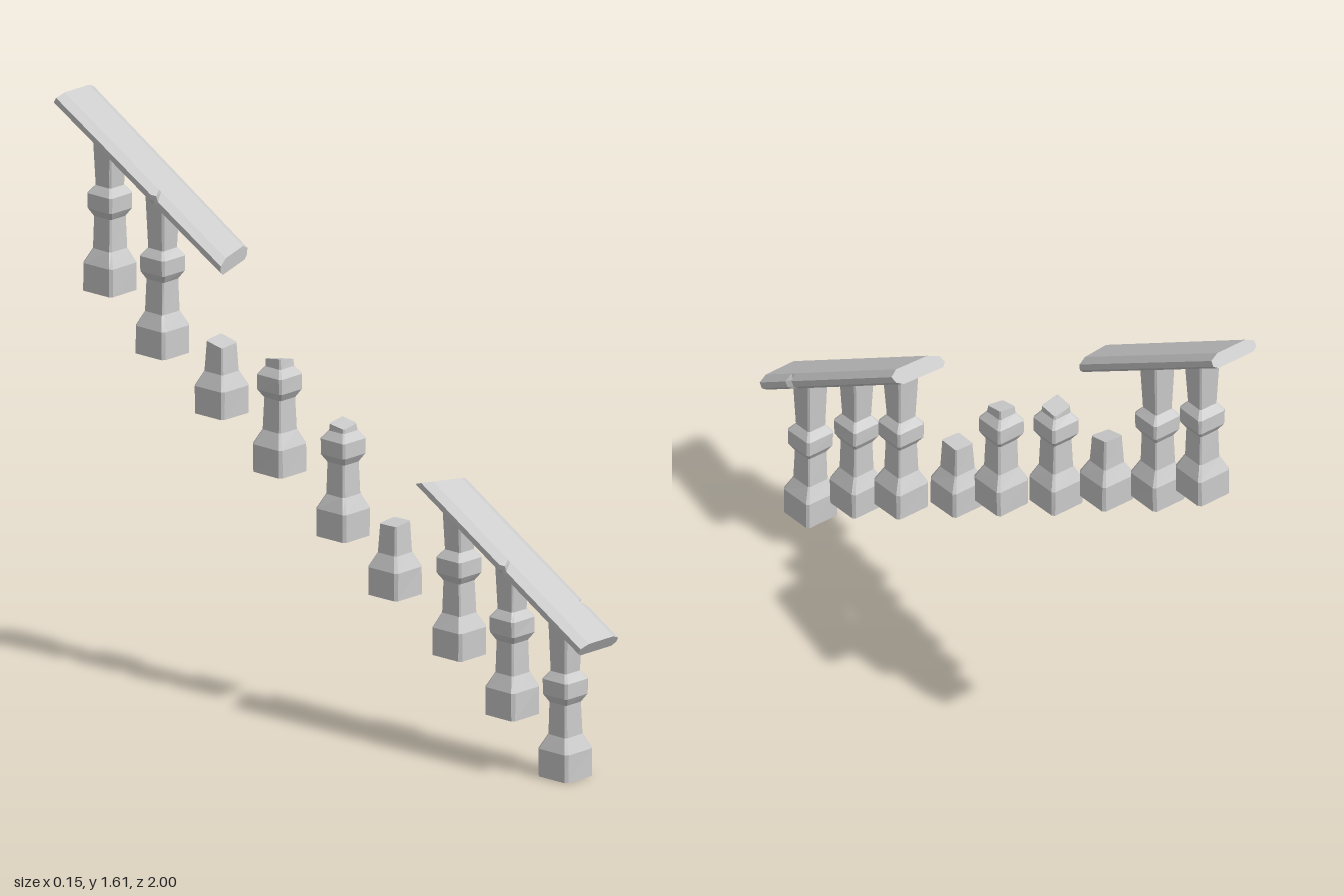
import * as THREE from 'three';

const material = new THREE.MeshStandardMaterial({ color: 0xcccccc, flatShading: true });

// small seeded random for hand-cut unevenness
let seed = 7;
const wobble = (amount) => {
  seed = (seed * 16807) % 2147483647;
  return (seed / 2147483647 - 0.5) * 2 * amount;
};

// skin a list of closed rings and cap both ends
function loft(rings) {
  const out = [];
  const tri = (...points) => points.forEach((p) => out.push(p.x, p.y, p.z));
  const n = rings[0].length;
  for (let i = 0; i < rings.length - 1; i++) {
    for (let j = 0; j < n; j++) {
      const k = (j + 1) % n;
      const [a, b, c, d] = [rings[i][j], rings[i][k], rings[i + 1][k], rings[i + 1][j]];
      tri(a, b, c);
      tri(a, c, d);
    }
  }
  const cap = (ring, flip) => {
    const mid = ring.reduce((s, p) => s.add(p), new THREE.Vector3()).divideScalar(n);
    ring.forEach((p, j) => {
      const q = ring[(j + 1) % n];
      flip ? tri(mid, q, p) : tri(mid, p, q);
    });
  };
  cap(rings[0], true);
  cap(rings[rings.length - 1], false);
  const geometry = new THREE.BufferGeometry();
  geometry.setAttribute('position', new THREE.Float32BufferAttribute(out, 3));
  geometry.computeVertexNormals();
  return geometry;
}

// square with slightly clipped corners, top optionally tilted
function squareRing(y, h, tiltX = 0, tiltZ = 0) {
  const c = h * 0.86;
  const corners = [[h, c], [h, -c], [c, -h], [-c, -h], [-h, -c], [-h, c], [-c, h], [c, h]];
  return corners.map(([x, z]) => new THREE.Vector3(
    x + wobble(0.001), y + x * tiltX + z * tiltZ, z + wobble(0.001)));
}

// baluster profile: [height, half width]
const PROFILE = [
  [0, 0.056], [0.08, 0.056], [0.122, 0.036], [0.215, 0.033],
  [0.238, 0.047], [0.282, 0.047], [0.305, 0.03],
];

function baluster(name, height, topHalf, tiltX, tiltZ) {
  const rings = PROFILE.filter(([y]) => y < height - 0.01).map(([y, h]) => squareRing(y, h));
  rings.push(squareRing(height, topHalf, tiltX, tiltZ));
  const mesh = new THREE.Mesh(loft(rings), material);
  mesh.name = name;
  return mesh;
}

// handrail section, clockwise in (across, normal)
const RAIL = [
  [0.05, 0.02], [0.077, 0.007], [0.077, -0.01], [0.063, -0.02],
  [-0.063, -0.02], [-0.077, -0.01], [-0.077, 0.007], [-0.05, 0.02],
];

// start and end are [y, z]; cuts are [skew across, skew through thickness]
function handrail(name, { start, end, startCut, endCut, startWidth, chips }) {
  const from = new THREE.Vector3(0, ...start);
  const span = new THREE.Vector3(0, ...end).sub(from);
  const length = span.length();
  const dir = span.clone().normalize();
  const normal = new THREE.Vector3(0, -dir.z, dir.y);
  const ring = (t, cut = [0, 0], dent = 0) => RAIL.map(([u, v]) => {
    const width = THREE.MathUtils.lerp(startWidth, 1, t);
    const pull = dent * u > 0.07 ? dent * 0.012 : 0;
    const p = from.clone().addScaledVector(dir, t * length + u * cut[0] + v * cut[1]);
    p.addScaledVector(normal, v);
    p.x = u * width - pull - 0.002;
    return p;
  });
  const rings = [ring(0, startCut)];
  for (const [t, side] of chips) rings.push(ring(t - 0.03), ring(t, [0, 0], side), ring(t + 0.015));
  rings.push(ring(1, endCut));
  const mesh = new THREE.Mesh(loft(rings), material);
  mesh.name = name;
  return mesh;
}

export function createModel() {
  const group = new THREE.Group();
  group.name = 'brokenStairBalustrade';

  const lower = {
    start: [0.403, 0.99], end: [0.757, 0.395], startCut: [0, 0], endCut: [-0.18, -0.9],
    startWidth: 1, chips: [[0.22, 1], [0.5, -1]],
  };
  const upper = {
    start: [1.236, -0.386], end: [1.592, -0.99], startCut: [0.22, 0.5], endCut: [0, 0],
    startWidth: 0.91, chips: [[0.4, -1]],
  };
  group.add(handrail('lowerHandrail', lower), handrail('upperHandrail', upper));

  // whole balusters reach into their rail: [x, y, z, rail]
  const whole = [
    [-0.002, 0, 0.865, lower], [-0.008, 0.14, 0.67, lower], [0.008, 0.265, 0.455, lower],
    [-0.003, 0.912, -0.655, upper], [0.004, 1.05, -0.86, upper],
  ];
  for (const [x, y, z, { start, end }] of whole) {
    const slope = (end[0] - start[0]) / (end[1] - start[1]);
    const railY = start[0] + (z - start[1]) * slope;
    const post = baluster('baluster', railY - y - 0.01, 0.037, 0, slope);
    post.position.set(x, y, z);
    group.add(post);
  }

  // snapped balusters: [x, y, z, height, top half width, tilt x, tilt z]
  const broken = [
    [-0.005, 0.395, 0.225, 0.208, 0.032, 0.08, 0.03],
    [0.005, 0.52, 0.02, 0.325, 0.028, 0.15, -0.15],
    [0.005, 0.657, -0.22, 0.325, 0.029, -0.2, 0.15],
    [-0.005, 0.785, -0.43, 0.207, 0.031, 0.1, -0.2],
  ];
  for (const [x, y, z, ...shape] of broken) {
    const post = baluster('brokenBaluster', ...shape);
    post.position.set(x, y, z);
    group.add(post);
  }
  return group;
}
